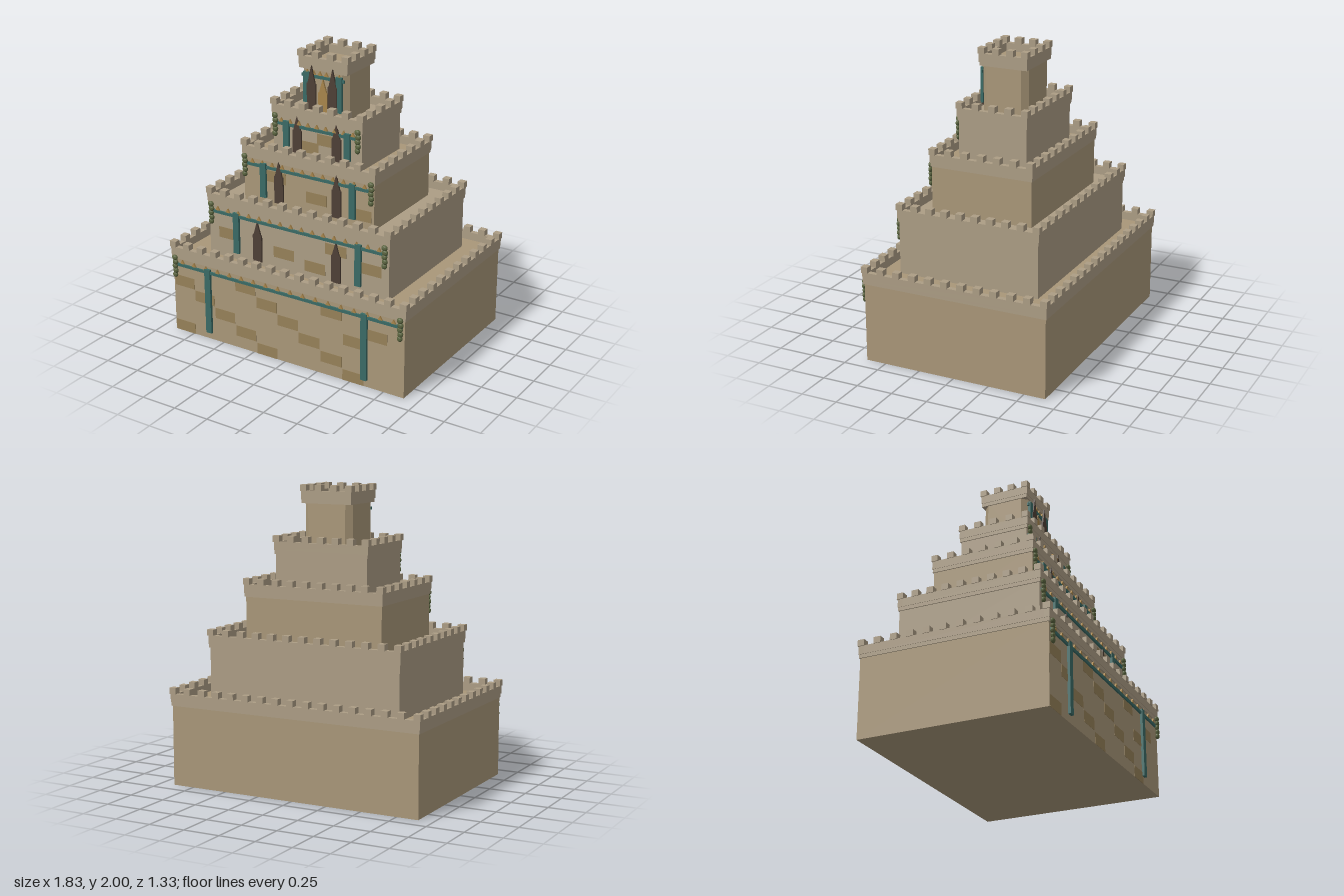
import * as THREE from 'three';

const mat = (color) => new THREE.MeshStandardMaterial({ color, flatShading: true });
const M = {
  sand: mat(0xa99779), pale: mat(0xac9d85), brick: mat(0x968159), teal: mat(0x3a6b66),
  brown: mat(0x4e4036), gold: mat(0xa8864c), leaf: mat(0x5b6540),
};
const CZ = -0.005; // shared centre of the tiers in z

function add(parent, name, geometry, material, x = 0, y = 0, z = 0) {
  const mesh = new THREE.Mesh(geometry, material);
  mesh.name = name;
  mesh.position.set(x, y, z);
  parent.add(mesh);
  return mesh;
}

// Box given by its bottom height
const box = (parent, name, material, w, h, d, x, y, z) =>
  add(parent, name, new THREE.BoxGeometry(w, h, d), material, x, y + h / 2, z);

// Flat outline pushed out along z
function plate(points, depth) {
  const shape = new THREE.Shape(points.map(([x, y]) => new THREE.Vector2(x, y)));
  return new THREE.ExtrudeGeometry(shape, { depth, bevelEnabled: false });
}

// Upright block with cut corners
function chamferedBlock(hw, hd, h, c) {
  const g = plate([[-hw + c, -hd], [hw - c, -hd], [hw, -hd + c], [hw, hd - c],
    [hw - c, hd], [-hw + c, hd], [-hw, hd - c], [-hw, -hd + c]], h);
  return g.rotateX(-Math.PI / 2);
}

// Ledge, low wall and merlons around a deck
function battlement(parent, hw, hd, deck) {
  const g = new THREE.Group();
  g.name = 'battlement';
  g.position.z = CZ;
  parent.add(g);
  const ow = hw + 0.01, od = hd + 0.01, t = 0.035, h = 0.057;
  box(g, 'ledge', M.pale, ow * 2 - 0.006, 0.025, od * 2 - 0.006, 0, deck - 0.027, 0);
  for (const s of [-1, 1]) {
    box(g, 'parapetLong', M.pale, ow * 2, h, t, 0, deck - 0.002, s * (od - t / 2));
    box(g, 'parapetSide', M.pale, t, h, (od - t) * 2, s * (ow - t / 2), deck - 0.002, 0);
  }
  const top = deck + 0.055, mx = ow - 0.018, mz = od - 0.018;
  const nx = Math.round(2 * mx / 0.113), nz = Math.round(2 * mz / 0.113);
  for (const s of [-1, 1]) {
    for (let i = 0; i <= nx; i++)
      box(g, 'merlon', M.pale, 0.048, 0.042, 0.046, -mx + 2 * mx * i / nx, top - 0.002, s * mz);
    for (let i = 1; i < nz; i++)
      box(g, 'merlon', M.pale, 0.046, 0.042, 0.048, s * mx, top - 0.002, -mz + 2 * mz * i / nz);
  }
}

// Hanging bunch of leaves
function garland(parent, x, top, z) {
  const g = new THREE.Group();
  g.name = 'garland';
  parent.add(g);
  for (let i = 0; i < 5; i++) {
    const leaf = add(g, 'leafClump', new THREE.IcosahedronGeometry(0.022, 1), M.leaf,
      x + (i % 2 ? 0.002 : -0.002), top - 0.02 - i * 0.031, z);
    leaf.scale.set(1 - i * 0.03, 0.95, 0.65);
  }
}

// Pointed window or door standing on the deck
function pointed(parent, name, material, x, y0, shoulder, tip, hw, z) {
  const g = plate([[-hw, y0], [hw, y0], [hw, shoulder], [hw * 0.8, shoulder + 0.005],
    [0, tip], [-hw * 0.8, shoulder + 0.005], [-hw, shoulder]], 0.012);
  add(parent, name, g, material, x, 0, z);
}

// Per tier: half width, half depth, base, deck, post x, window [x, shoulder, tip],
// garland x, number of trim triangles, darker stones [x, y, width]
const TIERS = [
  { hw: 0.9, hd: 0.643, y0: 0, deck: 0.567, post: 0.61, garland: 0.875, teeth: 18,
    stones: [[-0.815, 0], [-0.14, 0], [0.525, 0], [-0.31, 0.085], [0.36, 0.085], [-0.48, 0.17],
      [0.19, 0.17], [-0.645, 0.255], [0.025, 0.255], [0.53, 0.255], [-0.81, 0.338],
      [-0.14, 0.338], [0.695, 0.338], [-0.31, 0.42], [0.36, 0.42]] },
  { hw: 0.695, hd: 0.493, y0: 0.567, deck: 0.952, post: 0.472, window: [0.305, 0.785, 0.88],
    garland: 0.67, teeth: 16, stones: [[0.14, 0.62], [-0.1, 0.66], [0.56, 0.71], [-0.54, 0.7], [0.3, 0.78]] },
  { hw: 0.5, hd: 0.355, y0: 0.952, deck: 1.287, post: 0.343, window: [0.222, 1.17, 1.275],
    garland: 0.485, teeth: 12, stones: [[0.065, 1.035], [-0.25, 1.12], [0.4, 1.0]] },
  { hw: 0.337, hd: 0.241, y0: 1.287, deck: 1.568, post: 0.233, window: [0.15, 1.47, 1.568],
    garland: 0.316, teeth: 9, stones: [[0.08, 1.4], [-0.07, 1.33]] },
  { hw: 0.175, hd: 0.162, y0: 1.568, deck: 1.902, post: 0.123, window: [0.08, 1.785, 1.905],
    teeth: 6, stones: [], top: true },
];

export function createModel() {
  const root = new THREE.Group();
  root.name = 'steppedCastle';

  TIERS.forEach((t, i) => {
    const tier = new THREE.Group();
    tier.name = 'tier' + (i + 1);
    root.add(tier);
    const face = CZ + t.hd;
    const h = t.deck - t.y0;

    // Stone body; the top tower has cut corners and a square cap
    const stone = i % 2 ? M.pale : M.sand;
    if (t.top) {
      add(tier, 'towerBody', chamferedBlock(t.hw, t.hd, h - 0.01, 0.038), stone, 0, t.y0, CZ);
      box(tier, 'towerDeck', stone, t.hw * 2, 0.02, t.hd * 2, 0, t.deck - 0.02, CZ);
    } else {
      box(tier, 'body', stone, t.hw * 2, h, t.hd * 2, 0, t.y0, CZ);
    }
    battlement(tier, t.hw, t.hd, t.deck);

    // Darker stones on the front wall
    for (const [x, y] of t.stones)
      box(tier, 'darkStone', M.brick, 0.16, 0.077, 0.004, x, y, face);

    // Teal band with a row of small triangles above it
    const band = t.deck - 0.08;
    box(tier, 'band', M.teal, t.hw * 2 - 0.03, 0.02, 0.012, 0, band, face + 0.005);
    const span = t.hw * 2 - 0.06;
    for (let k = 0; k < t.teeth; k++)
      add(tier, 'trimTriangle', plate([[-0.016, 0], [0.016, 0], [0, 0.028]], 0.012), M.gold,
        -span / 2 + span * (k + 0.5) / t.teeth, band + 0.022, face);

    // Mirrored posts, windows and garlands
    for (const s of [-1, 1]) {
      const foot = t.y0 + 0.05;
      box(tier, 'post', M.teal, 0.045, t.deck - 0.045 - foot, 0.018, s * t.post, foot, face + 0.009);
      if (t.window) {
        const [x, shoulder, tip] = t.window;
        pointed(tier, 'window', M.brown, s * x, t.y0 + 0.03, shoulder, tip, 0.034, face + (t.top ? 0.012 : 0));
      }
      if (t.garland) garland(tier, s * t.garland, t.deck, face + 0.016);
    }
    if (t.top) pointed(tier, 'door', M.gold, 0, t.y0, 1.73, 1.825, 0.034, face);
  });

  return root;
}
